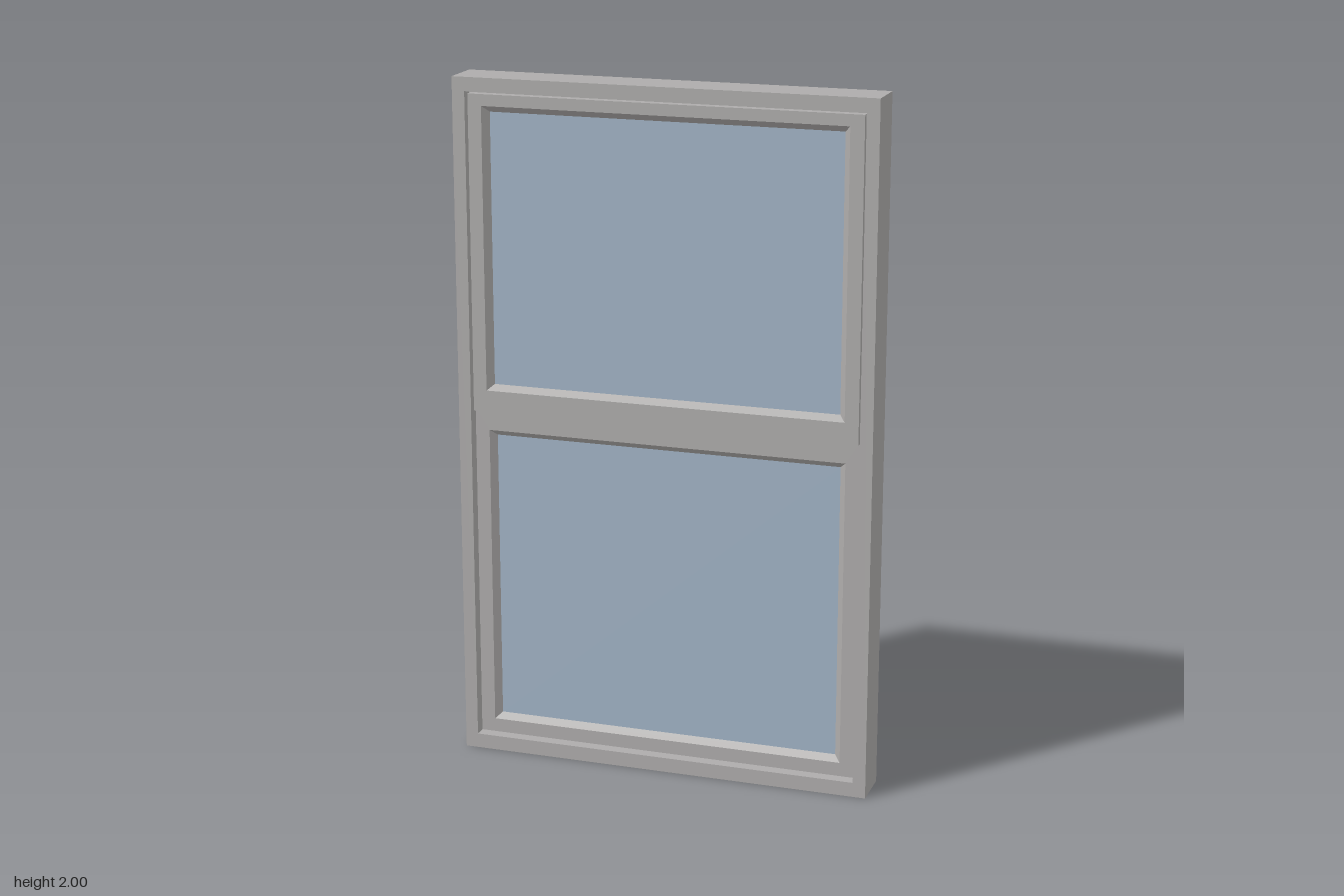
import * as THREE from 'three';

const frameMat = new THREE.MeshStandardMaterial({ color: 0xaeacab, side: THREE.DoubleSide });
frameMat.name = 'grey frame';
const glassMat = new THREE.MeshStandardMaterial({ color: 0xa1b3c5, side: THREE.DoubleSide });
glassMat.name = 'blue glass';

// Joins a series of rectangles [halfWidth, bottom, top, z] into a mitred, flat-shaded profile
function mitredProfile(name, rects) {
  const rings = rects.map(([w, y0, y1, z]) => [[-w, y0, z], [w, y0, z], [w, y1, z], [-w, y1, z]]);
  const pos = [];
  for (let i = 0; i < rings.length - 1; i++) {
    const a = rings[i], b = rings[i + 1];
    for (let j = 0; j < 4; j++) {
      const k = (j + 1) % 4;
      for (const p of [a[j], a[k], b[k], a[j], b[k], b[j]]) pos.push(...p);
    }
  }
  const geo = new THREE.BufferGeometry();
  geo.setAttribute('position', new THREE.Float32BufferAttribute(pos, 3));
  geo.computeVertexNormals();
  const mesh = new THREE.Mesh(geo, frameMat);
  mesh.name = name;
  return mesh;
}

function pane(name, w, y0, y1, z) {
  const mesh = new THREE.Mesh(new THREE.PlaneGeometry(2 * w, y1 - y0), glassMat);
  mesh.position.set(0, (y0 + y1) / 2, z);
  mesh.name = name;
  return mesh;
}

// Sash: outer edge, flat face, sloped bead, glass
function sash(name, y0, y1, open0, open1, glass0, glass1, zFace, zGlass) {
  const g = new THREE.Group();
  g.name = name;
  g.add(
    mitredProfile(name + 'Rails', [
      [0.568, y0, y1, 0.03],
      [0.568, y0, y1, zFace],
      [0.528, open0, open1, zFace],
      [0.51, glass0, glass1, zGlass],
    ]),
    pane(name + 'Glass', 0.51, glass0, glass1, zGlass),
  );
  return g;
}

export function createModel() {
  const model = new THREE.Group();
  model.name = 'window';

  // Outer casing: open-backed shell with a front flange and a narrow groove round the sashes
  model.add(mitredProfile('outerFrame', [
    [0.611, 0, 2, -0.065],
    [0.611, 0, 2, 0.065],
    [0.574, 0.043, 1.96, 0.065],
    [0.574, 0.043, 1.96, 0.03],
    [0.568, 0.05, 1.953, 0.03],
  ]));

  // Upper sash stands forward of the lower one
  model.add(sash('upperSash', 1.04, 1.953, 1.102, 1.92, 1.118, 1.902, 0.057, 0.037));
  model.add(sash('lowerSash', 0.05, 1.04, 0.088, 0.98, 0.105, 0.963, 0.04, 0.022));
  return model;
}
